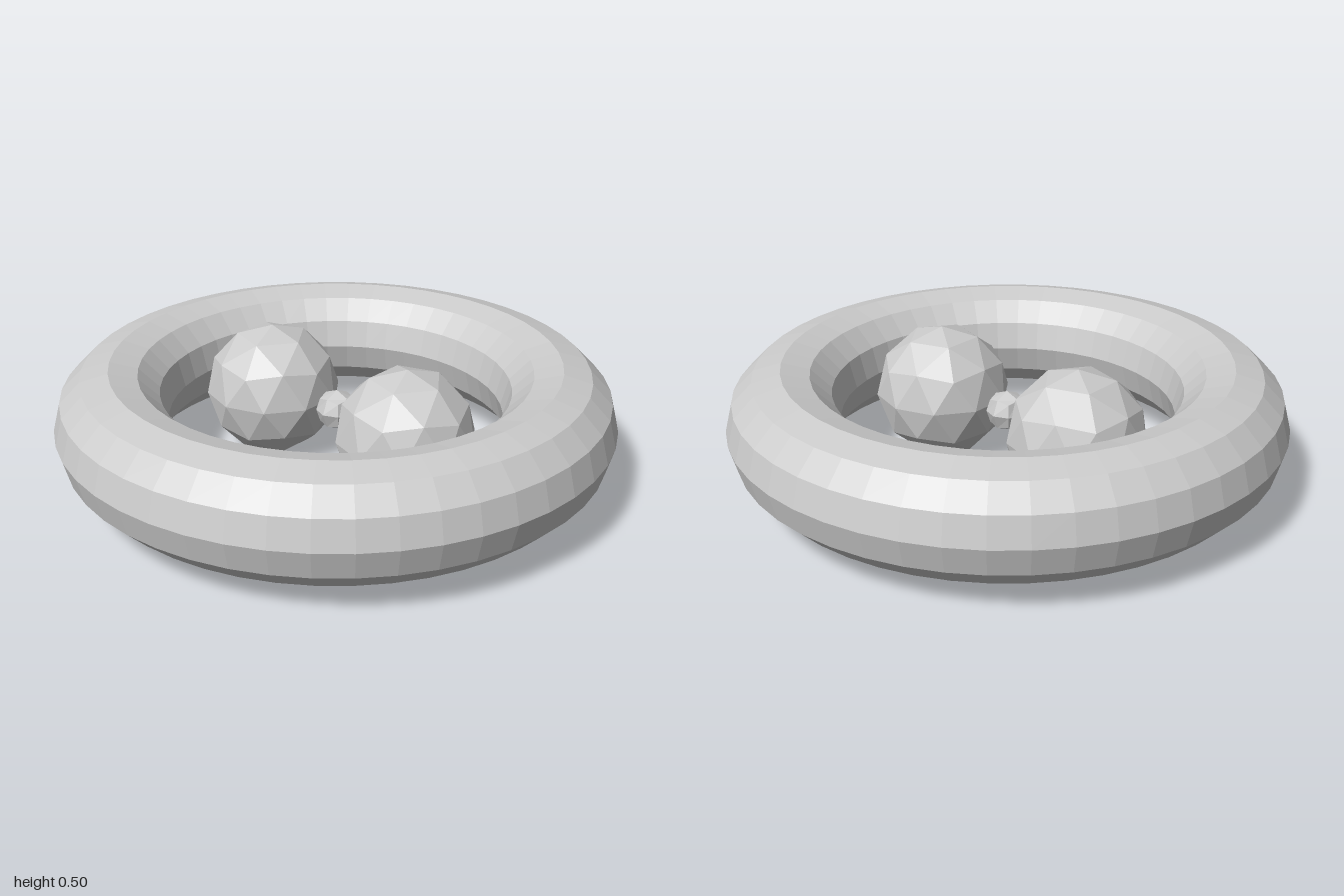
import * as THREE from 'three';

const material = new THREE.MeshStandardMaterial({ color: 0xcccccc, flatShading: true });

function addPart(group, name, geometry, x, y, z) {
  const mesh = new THREE.Mesh(geometry, material);
  mesh.name = name;
  mesh.position.set(x, y, z);
  group.add(mesh);
}

// Icosphere turned so that one corner points straight up
function icosphere(radius) {
  const tilt = Math.atan(2 / (1 + Math.sqrt(5)));
  return new THREE.IcosahedronGeometry(radius, 1).rotateZ(-tilt);
}

// Cube with 2 x 2 quads per side, pushed out to a sphere
function quadSphere(radius) {
  const geometry = new THREE.BoxGeometry(1, 1, 1, 2, 2, 2);
  const pos = geometry.attributes.position;
  const v = new THREE.Vector3();
  for (let i = 0; i < pos.count; i++) {
    v.fromBufferAttribute(pos, i).setLength(radius);
    pos.setXYZ(i, v.x, v.y, v.z);
  }
  geometry.computeVertexNormals();
  return geometry;
}

export function createModel() {
  const group = new THREE.Group();

  // Outer ring lying flat
  addPart(group, 'ring', new THREE.TorusGeometry(0.8, 0.2, 12, 48).rotateX(Math.PI / 2), 0, 0.26, 0);

  // Two large balls inside the ring
  addPart(group, 'leftBall', icosphere(0.25), 0.32, 0.25, -0.005);
  addPart(group, 'rightBall', icosphere(0.25), -0.32, 0.25, -0.005);

  // Small ball between them
  addPart(group, 'centreBall', quadSphere(0.075), 0, 0.255, -0.005);

  return group;
}
